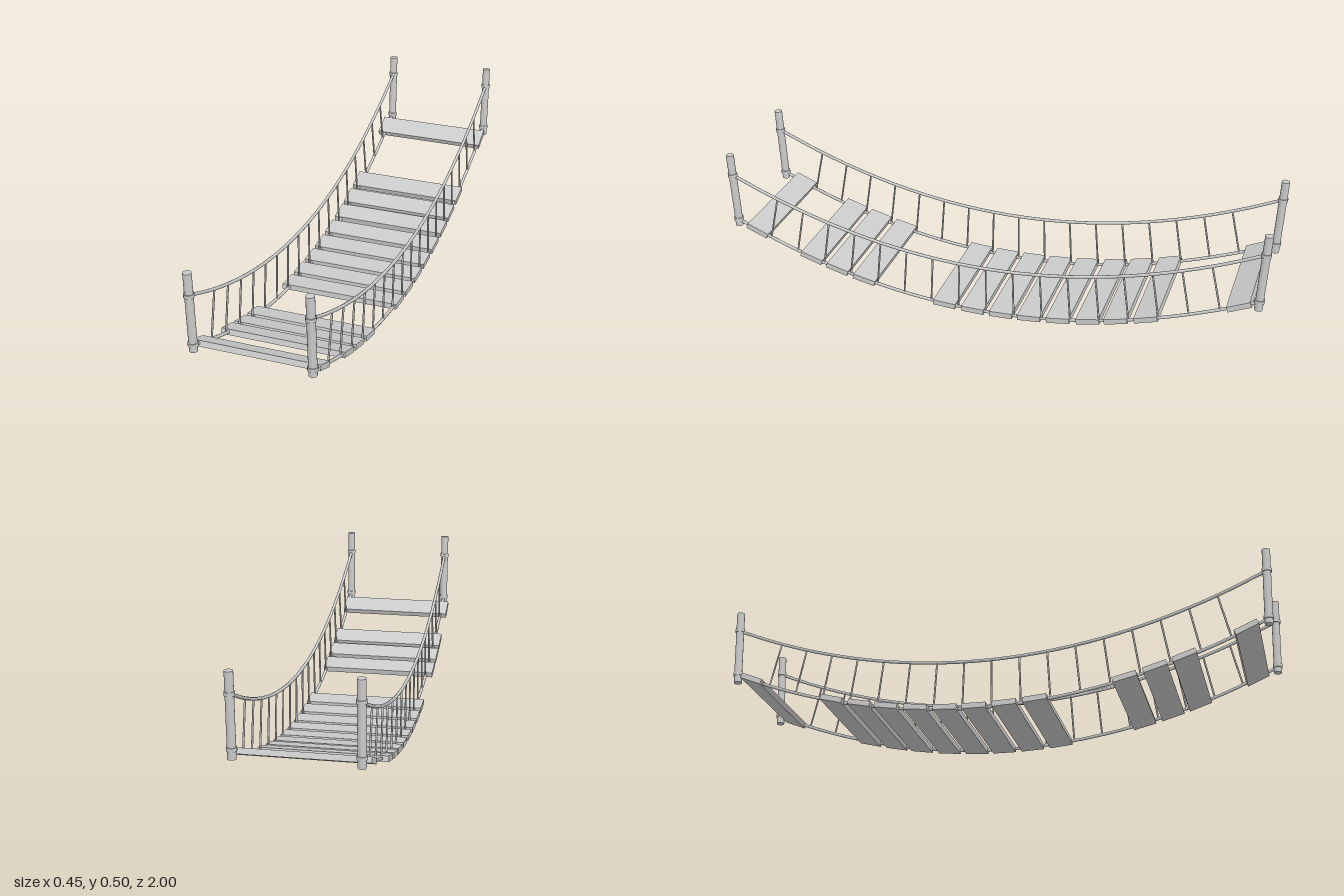
import * as THREE from 'three';

const SIDES = [-0.2, 0.205];   // x of the right and left ropes
const END = 0.975;             // z where the ropes meet the posts
const LOW = 0.012, HIGH = 0.193; // lowest heights of the two rope pairs

// Height and slope of a sagging rope at z
const sag = (z, base) => base + 0.226 * (z / END) ** 2 - 0.004 * z;
const slope = (z) => (0.452 * z) / END ** 2 - 0.004;

export function createModel() {
  const group = new THREE.Group();
  const mat = new THREE.MeshStandardMaterial({ color: 0xcccccc });

  const add = (name, geometry, parent = group) => {
    const mesh = new THREE.Mesh(geometry, mat);
    mesh.name = name;
    parent.add(mesh);
    return mesh;
  };

  // Cylinder stretched between two points
  const rod = (name, a, b, radius, sides) => {
    const dir = b.clone().sub(a);
    const mesh = add(name, new THREE.CylinderGeometry(radius, radius, dir.length(), sides));
    mesh.position.copy(a).add(b).multiplyScalar(0.5);
    mesh.quaternion.setFromUnitVectors(new THREE.Vector3(0, 1, 0), dir.normalize());
    return mesh;
  };

  for (const x of SIDES) {
    // Handrail and deck ropes
    for (const [name, base] of [['handRope', HIGH], ['deckRope', LOW]]) {
      const points = [];
      for (let i = 0; i <= 16; i++) {
        const z = END * (i / 8 - 1);
        points.push(new THREE.Vector3(x, sag(z, base), z));
      }
      add(name, new THREE.TubeGeometry(new THREE.CatmullRomCurve3(points), 64, 0.006, 8));
    }

    // Hanger ropes, leaning square to the sag
    for (let k = -8; k <= 8; k++) {
      const z = k * 0.1055;
      rod('hangerRope',
        new THREE.Vector3(x, sag(z, LOW), z),
        new THREE.Vector3(x, sag(z * 0.955, HIGH), z * 0.955), 0.0035, 6);
    }

    // End posts, leaning slightly outwards, with rope lashings
    for (const s of [-1, 1]) {
      const post = new THREE.Group();
      post.name = 'endPost';
      post.position.set(x, 0.355, s * 0.978);
      post.rotation.x = s * 0.04;
      add('post', new THREE.CylinderGeometry(0.0145, 0.0145, 0.288, 16), post);
      for (const base of [HIGH, LOW]) {
        const lashing = add('lashing', new THREE.CylinderGeometry(0.0175, 0.0175, 0.013, 16), post);
        lashing.position.y = sag(s * END, base) + 0.003 - 0.355;
      }
      group.add(post);
    }
  }

  // Deck planks, some missing, each tilted along the sag
  const plankZ = [-0.908, -0.59, -0.483, -0.382, -0.272, -0.164, -0.058,
    0.05, 0.159, 0.474, 0.58, 0.682, 0.897];
  for (const z of plankZ) {
    const plank = add('plank', new THREE.BoxGeometry(0.441, 0.02, 0.086));
    plank.position.set(-0.005, sag(z, LOW), z);
    plank.rotation.x = -Math.atan(slope(z));
  }
  return group;
}
